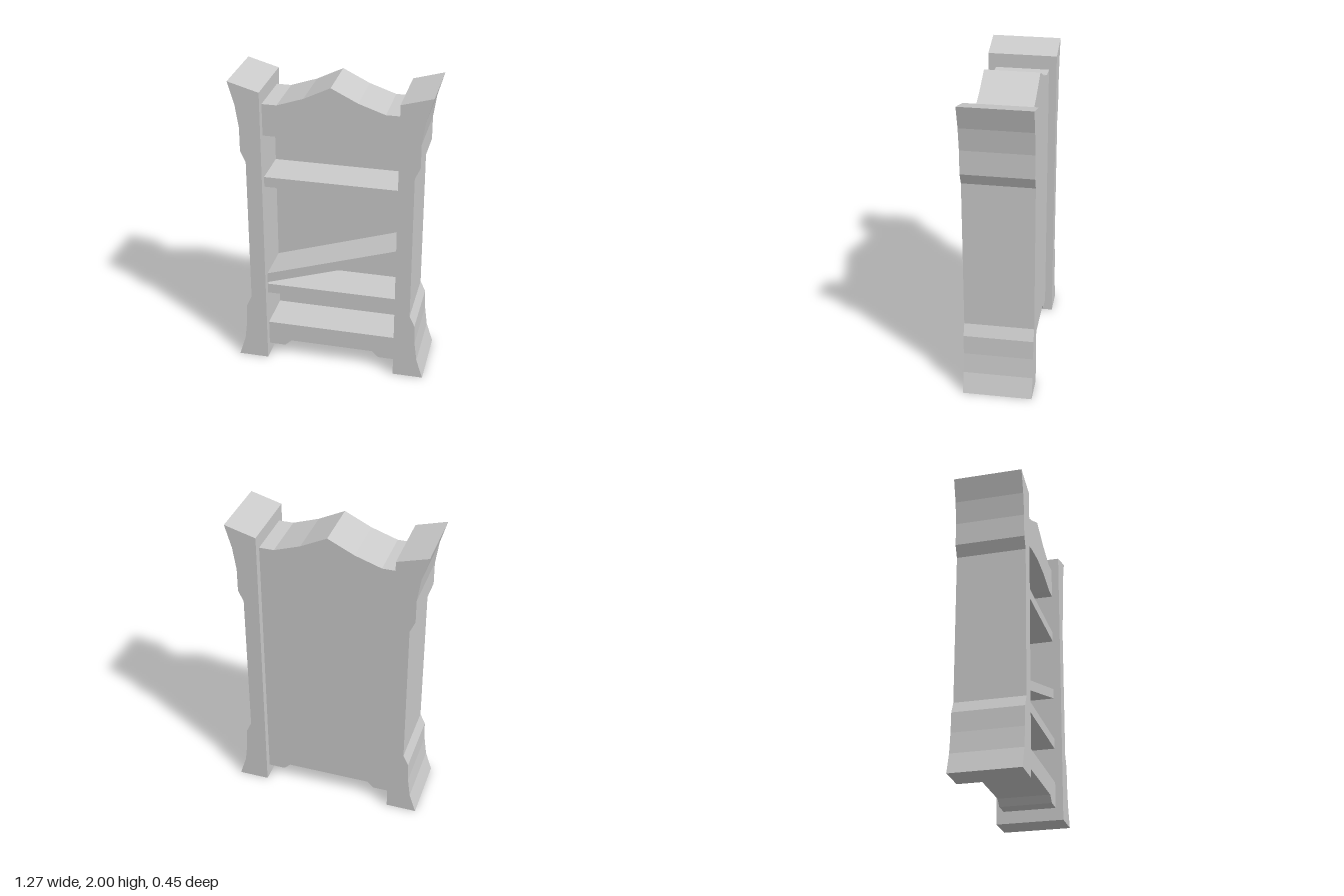
import * as THREE from 'three';

const material = new THREE.MeshStandardMaterial({ color: 0xcccccc, flatShading: true });
const INNER = 0.435;      // half width between the posts
const BACK = -0.175, PANEL_FRONT = -0.1, FRONT = 0.175;

// Extrude an outline in the xy plane from z0 to z1
function slab(name, points, z0, z1) {
  const shape = new THREE.Shape(points.map(([x, y]) => new THREE.Vector2(x, y)));
  const geometry = new THREE.ExtrudeGeometry(shape, { depth: z1 - z0, bevelEnabled: false });
  geometry.translate(0, 0, z0);
  const mesh = new THREE.Mesh(geometry, material);
  mesh.name = name;
  return mesh;
}

const flip = (points) => points.map(([x, y]) => [-x, y]).reverse();

// Complete a right-half profile (centre outwards) into a left-to-right line
const mirrored = (half) => [...flip(half), ...half.filter(([x]) => x > 0)];

export function createModel() {
  const group = new THREE.Group();
  group.name = 'bookcase';

  // Side posts, flared at foot and top
  const post = [
    [INNER, 0], [0.635, 0], [0.592, 0.135], [0.575, 0.27], [0.57, 0.4], [0.536, 0.475],
    [0.536, 1.47], [0.57, 1.545], [0.57, 1.7], [0.592, 1.85], [0.635, 2], [INNER, 1.943],
  ];
  group.add(slab('leftPost', post, -0.225, 0.225));
  group.add(slab('rightPost', flip(post), -0.225, 0.225));

  // Peaked crown, arched underside and notched plinth profiles
  const crown = mirrored([[0, 1.992], [0.17, 1.908], [0.34, 1.85], [INNER, 1.85]]);
  const arch = mirrored([[0, 1.7], [0.18, 1.683], [0.35, 1.64], [INNER, 1.64]]);
  const plinth = mirrored([[0, 0.125], [0.28, 0.125], [0.325, 0.083], [INNER, 0.083]]);

  group.add(slab('backPanel', [...plinth, ...[...crown].reverse()], BACK, PANEL_FRONT));
  group.add(slab('header', [...arch, ...[...crown].reverse()], PANEL_FRONT, FRONT));
  group.add(slab('base', [...plinth, [INNER, 0.255], [-INNER, 0.255]], PANEL_FRONT, FRONT));

  // Shelves: underside height at the -x end and at the +x end
  const shelves = [
    ['lowerShelf', 0.492, 0.492],
    ['slantedShelf', 0.572, 0.855],
    ['upperShelf', 1.285, 1.285],
  ];
  for (const [name, a, b] of shelves) {
    const t = 0.068;
    group.add(slab(name, [[-INNER, a], [INNER, b], [INNER, b + t], [-INNER, a + t]], PANEL_FRONT, FRONT));
  }
  return group;
}
